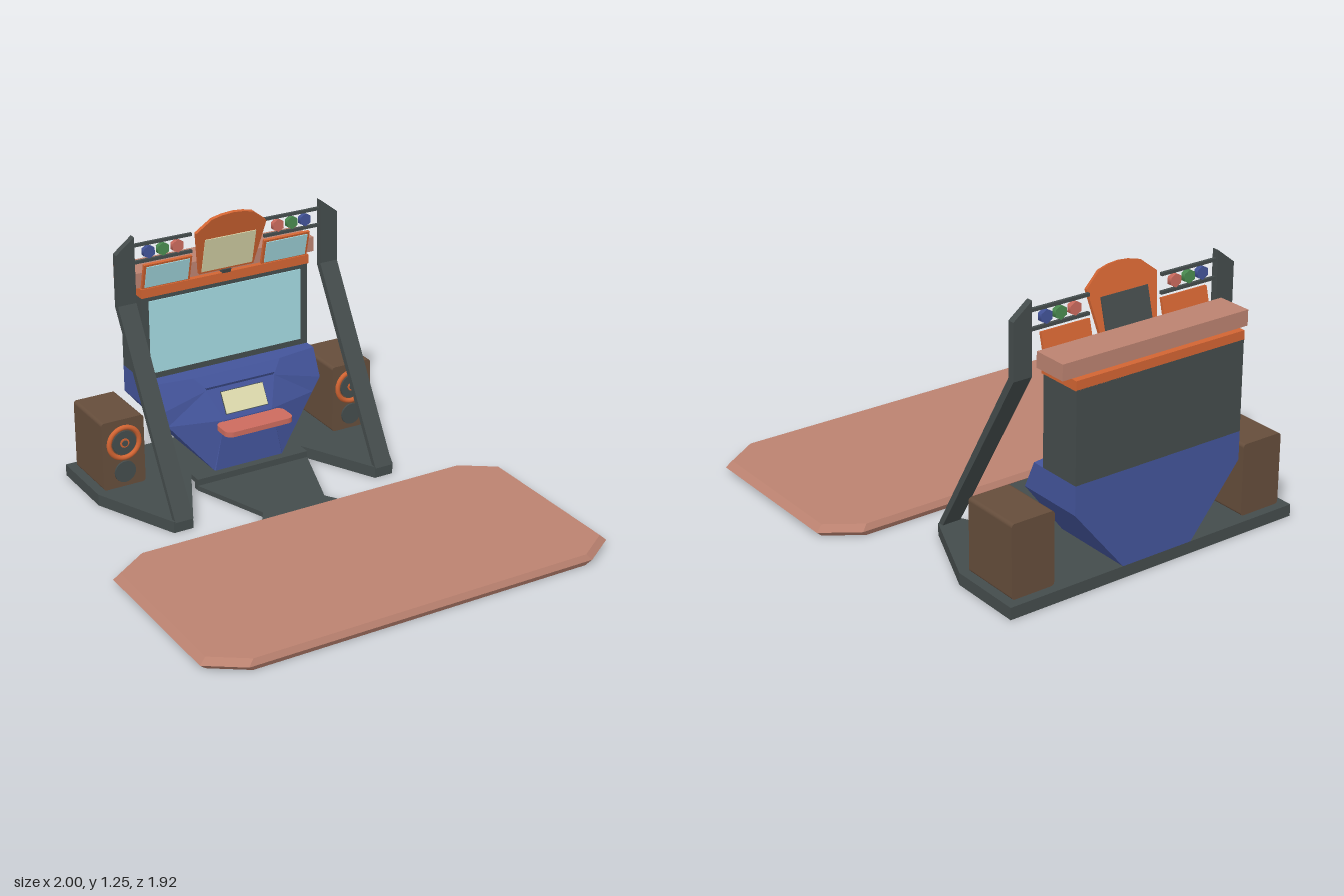
import * as THREE from 'three';

const mat = (name, color) => {
  const m = new THREE.MeshStandardMaterial({ color });
  m.name = name;
  return m;
};

// Solid from stacked rings of [x, y, z], counter-clockwise seen from above;
// the diagonals of the second half mirror those of the first
function loft(rings) {
  const pos = [], n = rings[0].length, last = rings.length - 1;
  const tri = (...p) => p.forEach(v => pos.push(...v));
  for (let j = 0; j < last; j++) for (let i = 0; i < n; i++) {
    const k = (i + 1) % n, a = rings[j], b = rings[j + 1];
    if (i < n / 2) {
      tri(a[i], a[k], b[k]);
      tri(a[i], b[k], b[i]);
    } else {
      tri(a[i], a[k], b[i]);
      tri(a[k], b[k], b[i]);
    }
  }
  for (let i = 1; i < n - 1; i++) {
    tri(rings[last][0], rings[last][i], rings[last][i + 1]);
    tri(rings[0][0], rings[0][i + 1], rings[0][i]);
  }
  const g = new THREE.BufferGeometry();
  g.setAttribute('position', new THREE.Float32BufferAttribute(pos, 3));
  g.computeVertexNormals();
  return g;
}
// Flat slab from a convex plan outline of [x, z]
const slab = (plan, y0, y1) => loft([y0, y1].map(y => plan.map(([x, z]) => [x, y, z])));

function extrude(points, depth) {
  const s = new THREE.Shape(points.map(p => new THREE.Vector2(...p)));
  return new THREE.ExtrudeGeometry(s, { depth, bevelEnabled: false });
}
// Rounded rectangle, centred in x and y, extruded from z = 0
function roundedPlate(w, h, r, depth) {
  const s = new THREE.Shape(), a = w / 2, b = h / 2;
  s.absarc(a - r, b - r, r, 0, Math.PI / 2);
  s.absarc(-a + r, b - r, r, Math.PI / 2, Math.PI);
  s.absarc(-a + r, -b + r, r, Math.PI, Math.PI * 1.5);
  s.absarc(a - r, -b + r, r, Math.PI * 1.5, Math.PI * 2);
  return new THREE.ExtrudeGeometry(s, { depth, bevelEnabled: false, curveSegments: 4 });
}

export function createModel() {
  const M = {
    dark: mat('charcoal', 0x444c4c), pink: mat('dusty pink', 0xbb8270),
    blue: mat('blue', 0x43549a), orange: mat('orange', 0xd26432),
    brown: mat('brown', 0x654d3b), glass: mat('screen glass', 0xa5dbe2),
    cream: mat('cream', 0xdedbae), red: mat('red', 0xcc6b5e),
    green: mat('green', 0x4a8c50),
  };
  const root = new THREE.Group();
  const add = (parent, name, geo, m, x = 0, y = 0, z = 0) => {
    const mesh = new THREE.Mesh(geo, m);
    mesh.name = name;
    mesh.position.set(x, y, z);
    parent.add(mesh);
    return mesh;
  };
  // Box given by its limits
  const box = (parent, name, m, x0, x1, y0, y1, z0, z1) =>
    add(parent, name, new THREE.BoxGeometry(x1 - x0, y1 - y0, z1 - z0), m,
      (x0 + x1) / 2, (y0 + y1) / 2, (z0 + z1) / 2);
  const group = (name, x = 0, y = 0, z = 0) => {
    const g = new THREE.Group();
    g.name = name;
    g.position.set(x, y, z);
    root.add(g);
    return g;
  };

  // Floor platform with cut corners and a bulging rim
  const ring = (y, hx, hz) => [[-1, -.78], [-1, .78], [-.84, 1], [.84, 1], [1, .78], [1, -.78], [.84, -1], [-.84, -1]]
    .map(([x, z]) => [x * hx, y, .46 + z * hz]);
  add(root, 'platform', loft([ring(0, .97, .485), ring(.027, 1, .5), ring(.055, .97, .488)]), M.pink);

  // Central deck, hollow below, and the low tongue running to the platform
  box(root, 'baseCentre', M.dark, -.29, .29, .031, .055, -.96, -.51);
  box(root, 'baseRearRail', M.dark, -.28, .28, 0, .055, -.96, -.93);
  box(root, 'baseFrontRail', M.dark, -.29, .29, 0, .055, -.54, -.51);
  add(root, 'baseTongue', slab([[-.29, -.51], [-.16, -.135], [.16, -.135], [.29, -.51]], 0, .024), M.dark);
  add(root, 'baseTongueEnd', slab([[-.16, -.135], [-.225, -.035], [.225, -.035], [.16, -.135]], 0, .024), M.dark);

  // Parts that come in left and right copies
  for (const side of [-1, 1]) {
    const g = group(side < 0 ? 'rightSide' : 'leftSide');
    g.scale.x = -side;

    add(g, 'baseWing', slab([[-.745, -.96], [-.745, -.61], [-.57, -.205], [-.475, -.205], [-.275, -.605], [-.275, -.96]], 0, .055), M.dark);

    // Leaning strut with an upright end, its top cut at a slant
    const strut = extrude([[-.2, .05], [-.703, .9], [-.703, 1.21], [-.735, 1.21], [-.735, .89], [-.23, .05]], .09);
    strut.rotateY(-Math.PI / 2).translate(-.475, 0, 0);
    const p = strut.attributes.position;
    for (let i = 0; i < p.count; i++) if (p.getY(i) > 1.2 && p.getX(i) < -.5) p.setY(i, 1.14);
    strut.computeVertexNormals();
    add(g, 'strut', strut, M.dark);

    // Rails with flat six-sided coloured lamps
    for (const y of [1.085, 1.165]) box(g, 'rail', M.dark, -.48, -.185, y - .007, y + .007, -.727, -.713);
    [[-.4, M.blue], [-.33, M.green], [-.257, M.red]].forEach(([x, m]) => {
      add(g, 'lamp', new THREE.CylinderGeometry(.031, .031, .022, 6).rotateX(Math.PI / 2), m, x, 1.125, -.72);
      box(g, 'lampPin', M.dark, x - .003, x + .003, 1.085, 1.165, -.723, -.717);
    });

    // Loudspeaker
    add(g, 'speakerBox', roundedPlate(.21, .335, .015, .29), M.brown, -.603, .2225, -.917);
    add(g, 'speakerRing', new THREE.TorusGeometry(.075, .012, 8, 28), M.orange, -.6, .275, -.624);
    const disc = (name, r, y, m, h) => {
      const d = new THREE.CylinderGeometry(r, r, h, 24).rotateX(Math.PI / 2);
      add(g, name, d, m, -.6, y, -.627 + h / 2);
    };
    disc('speakerCone', .058, .275, M.dark, .008);
    disc('speakerHub', .022, .275, M.orange, .012);
    disc('speakerHubCap', .014, .275, M.dark, .016);
    disc('speakerPort', .052, .13, M.dark, .008);
  }

  // Blue lower cabinet: flank x, y, z and nose x, y, z at each level
  const body = [
    [.18, .055, -.555, .176, .055, -.55],
    [.381, .3, -.617, .125, .3, -.55],
    [.43, .36, -.63, .18, .43, -.625],
    [.43, .49, -.69, .23, .49, -.66],
  ].map(([w, y, z, c, cy, cz]) =>
    [[-w, y, -.96], [-w, y, z], [-c, cy, cz], [c, cy, cz], [w, y, z], [w, y, -.96]]);
  add(root, 'lowerCabinet', loft(body), M.blue);

  // Low hood over the control screen
  const hood = [[.432, .175, -.627], [.446, .18, -.62], [.491, .225, -.655]]
    .map(([y, w, z]) => [[-w, y, -.7], [-w, y, z], [w, y, z], [w, y, -.7]]);
  add(root, 'controlHood', loft(hood), M.blue);

  // Sloped control screen
  const slope = group('controlFace', 0, .3, -.55);
  slope.rotation.x = -Math.atan(.11 / .19);
  box(slope, 'controlFrame', M.dark, -.111, .111, .023, .132, -.004, .003);
  box(slope, 'controlScreen', M.cream, -.108, .108, .026, .129, 0, .006);

  // Tray
  add(root, 'tray', roundedPlate(.35, .125, .035, .025).rotateX(-Math.PI / 2), M.red, 0, .27, -.49);

  // Upper cabinet with main screen, cornice and cap
  box(root, 'upperCabinet', M.dark, -.43, .43, .49, .9, -.96, -.75);
  box(root, 'mainScreen', M.glass, -.393, .393, .52, .873, -.75, -.745);
  box(root, 'cornice', M.orange, -.432, .432, .897, .94, -.96, -.738);
  box(root, 'cap', M.pink, -.475, .475, .94, 1.01, -.93, -.765);

  // Sign and small monitors, leaning forward together
  const lean = group('topSigns', 0, .94, -.76);
  lean.rotation.x = .25;
  add(lean, 'sign', extrude([[-.14, .02], [.14, .02], [.18, .245], [.105, .307], [.055, .32], [0, .325], [-.055, .32], [-.105, .307], [-.18, .245]], .016), M.orange);
  box(lean, 'signScreen', M.cream, -.13, .13, .032, .205, .014, .02);
  box(lean, 'signBackPanel', M.dark, -.12, .12, .03, .2, -.006, .002);
  box(lean, 'signFoot', M.dark, -.022, .022, -.002, .022, -.005, .022);
  for (const s of [-1, 1]) {
    const x = s * .305;
    box(lean, 'monitorFrame', M.orange, x - .12, x + .12, 0, .13, 0, .014);
    box(lean, 'monitorScreen', M.glass, x - .108, x + .108, .01, .12, .012, .018);
  }
  return root;
}
